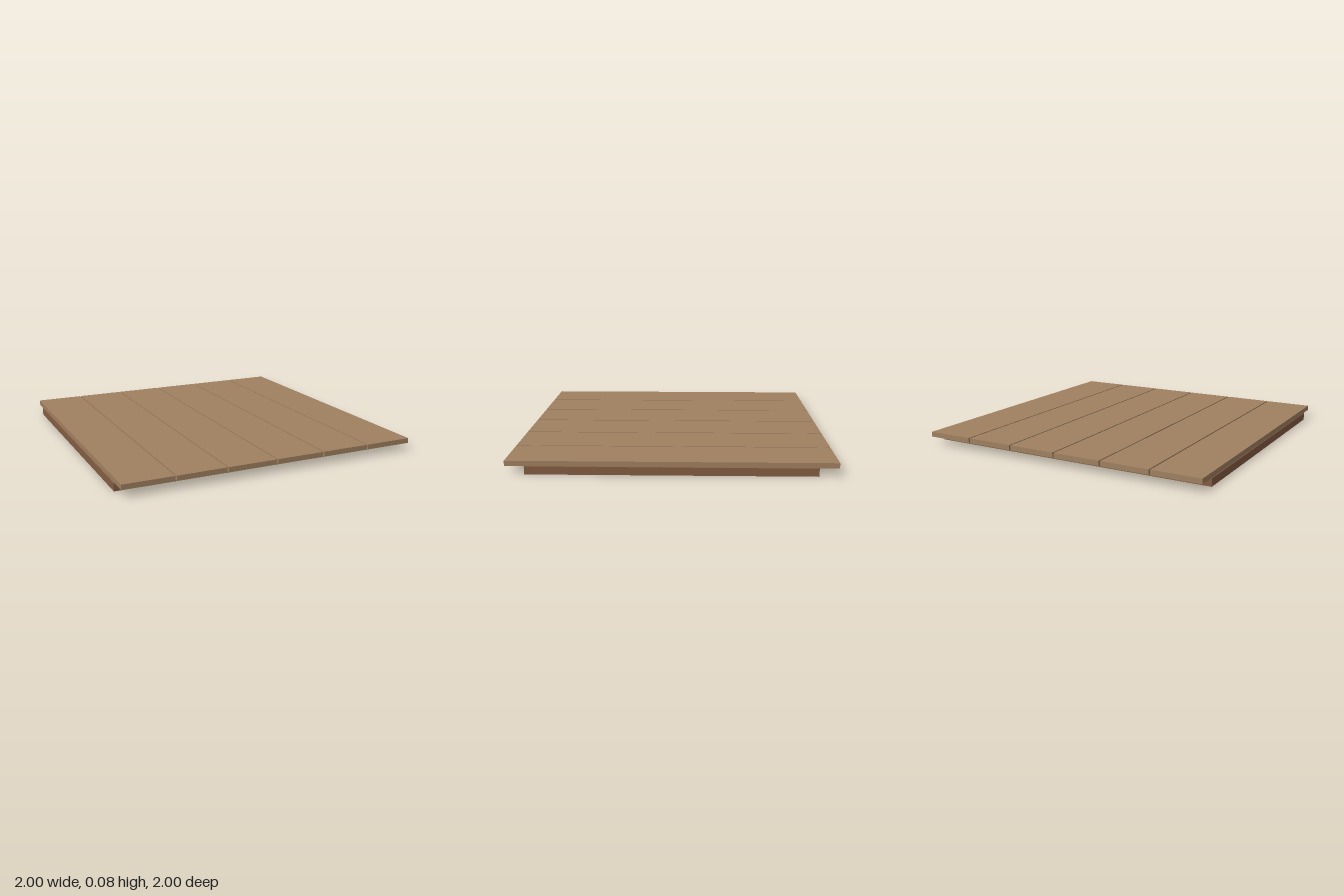
import * as THREE from 'three';

export function createModel() {
  const plankWood = new THREE.MeshStandardMaterial({ color: 0xa08060 });
  plankWood.name = 'light plank wood';
  const beamWood = new THREE.MeshStandardMaterial({ color: 0x845d42 });
  beamWood.name = 'dark beam wood';

  const model = new THREE.Group();
  model.name = 'woodenPlatform';

  // Place a box by its bottom centre
  const addBox = (name, [w, h, d], [x, y, z], material) => {
    const mesh = new THREE.Mesh(new THREE.BoxGeometry(w, h, d), material);
    mesh.name = name;
    mesh.position.set(x, y + h / 2, z);
    model.add(mesh);
  };

  const frameHeight = 0.05, beamWidth = 0.12, frameDepth = 1.76;

  // Support frame: full-width front and back beams, side beams between them
  for (const s of [1, -1]) {
    addBox(s > 0 ? 'frontBeam' : 'backBeam', [2, frameHeight, beamWidth],
      [0, 0, s * (frameDepth - beamWidth) / 2], beamWood);
    addBox(s > 0 ? 'leftBeam' : 'rightBeam', [beamWidth, frameHeight, frameDepth - 2 * beamWidth],
      [s * (1 - beamWidth / 2), 0, 0], beamWood);
  }

  // Deck planks, separated by narrow gaps
  const count = 6, pitch = 2 / count, gap = 0.01;
  for (let i = 0; i < count; i++) {
    addBox(`plank${i + 1}`, [pitch - gap, 0.033, 2],
      [-1 + (i + 0.5) * pitch, frameHeight, 0], plankWood);
  }

  return model;
}
